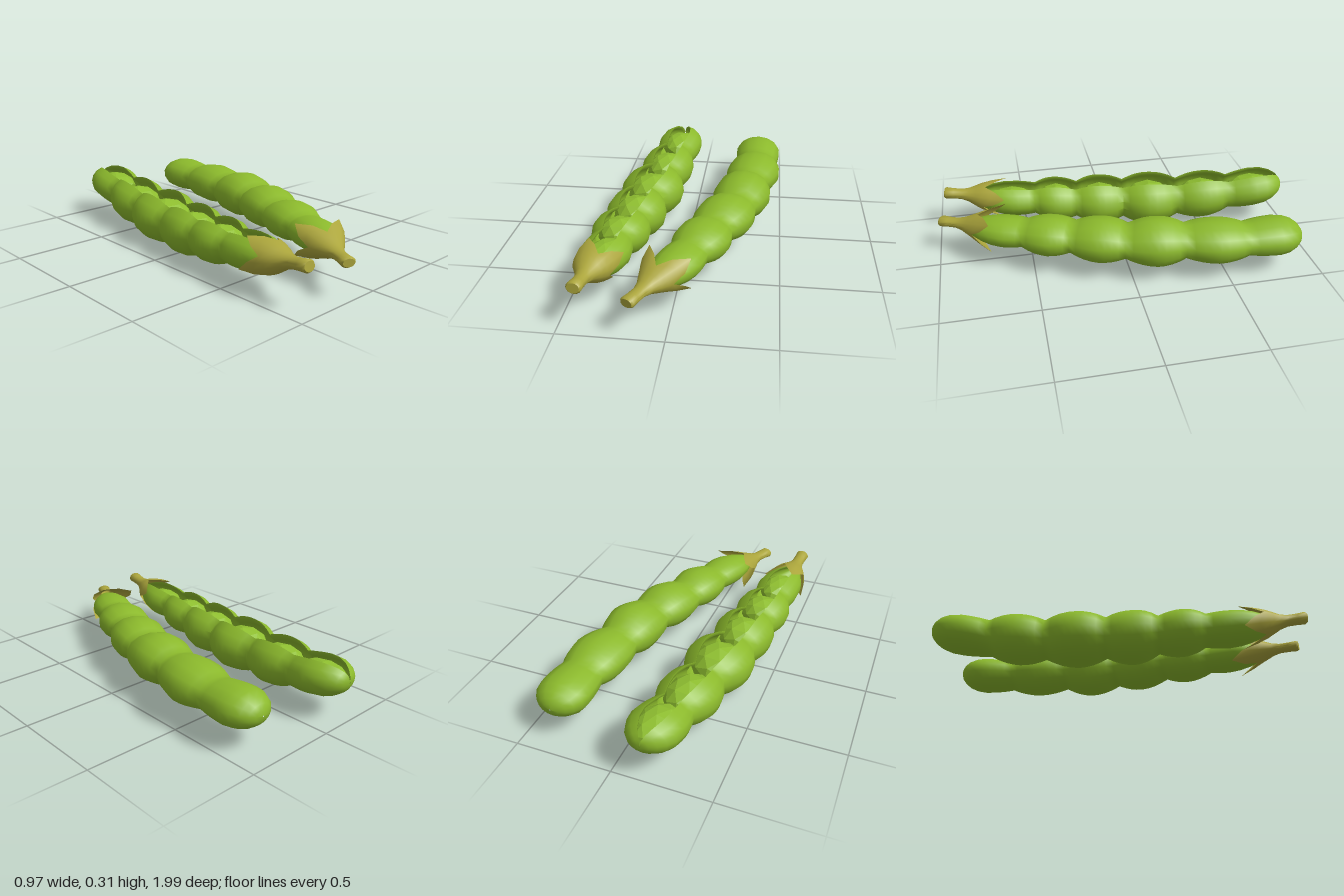
import * as THREE from 'three';
import { toCreasedNormals } from 'three/addons/utils/BufferGeometryUtils.js';

const podGreen = new THREE.MeshStandardMaterial({ color: 0x8cba2c });
podGreen.name = 'pod green';
const peaGreen = new THREE.MeshStandardMaterial({ color: 0x8fbf30 });
peaGreen.name = 'pea green';
const calyxOlive = new THREE.MeshStandardMaterial({ color: 0xaca63c, side: THREE.DoubleSide });
calyxOlive.name = 'calyx olive';

// Nodes run tip to stem and alternate waist, bulge, waist...: [z, x, y, half width, half height]
const closedNodes = [
  [-0.91, 0.35, 0.19, 0.004, 0.004], [-0.77, 0.35, 0.187, 0.137, 0.095],
  [-0.605, 0.345, 0.185, 0.12, 0.078], [-0.45, 0.332, 0.185, 0.156, 0.11],
  [-0.285, 0.298, 0.185, 0.12, 0.084], [-0.14, 0.28, 0.185, 0.158, 0.126],
  [0.015, 0.24, 0.185, 0.126, 0.08], [0.14, 0.2, 0.185, 0.154, 0.114],
  [0.285, 0.14, 0.185, 0.118, 0.074], [0.4, 0.105, 0.185, 0.144, 0.1],
  [0.53, 0.052, 0.185, 0.104, 0.068], [0.63, 0.015, 0.185, 0.116, 0.077],
  [0.84, -0.085, 0.183, 0.025, 0.022],
];
const openNodes = [
  [-1, -0.155, 0.215, 0.004, 0.004], [-0.83, -0.165, 0.198, 0.14, 0.102],
  [-0.68, -0.185, 0.172, 0.11, 0.094], [-0.53, -0.208, 0.158, 0.158, 0.131],
  [-0.385, -0.23, 0.148, 0.116, 0.102], [-0.22, -0.25, 0.145, 0.181, 0.142],
  [-0.07, -0.282, 0.142, 0.124, 0.105], [0.07, -0.293, 0.143, 0.163, 0.139],
  [0.2, -0.315, 0.15, 0.121, 0.096], [0.32, -0.33, 0.157, 0.151, 0.119],
  [0.44, -0.347, 0.165, 0.107, 0.084], [0.56, -0.355, 0.172, 0.125, 0.093],
  [0.8, -0.395, 0.188, 0.025, 0.025],
];

// Skin a list of closed rings of points
function loft(rings) {
  const n = rings[0].length, index = [];
  for (let i = 0; i < rings.length - 1; i++) {
    for (let j = 0; j < n; j++) {
      const a = i * n + j, b = i * n + (j + 1) % n;
      index.push(a, a + n, b, b, a + n, b + n);
    }
  }
  const geo = new THREE.BufferGeometry().setFromPoints(rings.flat());
  geo.setIndex(index);
  geo.computeVertexNormals();
  return geo;
}

// Cross-sections as [angle from top, scale]
const fullSection = () => Array.from({ length: 14 }, (_, i) => [i / 14 * Math.PI * 2, 1]);
const arc = (start, scale, n) => Array.from({ length: n + 1 },
  (_, i) => [start + (Math.PI * 2 - 2 * start) * i / n, scale]);
// Outer skin, then the inner wall back to the first lip
const slitSection = (gap) => [...arc(Math.asin(gap), 1, 14),
  ...arc(Math.asin(gap / 0.88), 0.88, 12).reverse()];

const lerp = THREE.MathUtils.lerp;
const slopeAt = (nodes, i) => {
  const a = nodes[Math.max(i - 1, 0)], b = nodes[Math.min(i + 1, nodes.length - 1)];
  return (b[1] - a[1]) / (b[0] - a[0]);
};

// One ring between waist w and bulge b; u is 1 at the waist and 0 at the bulge
function ring(nodes, w, b, u, section) {
  const W = nodes[w], B = nodes[b], tip = w === 0;
  const swell = tip ? Math.sqrt(1 - u * u) : 1 - u * u;
  const [z, x, y] = [0, 1, 2].map((k) => lerp(B[k], W[k], u));
  const [rx, ry] = [3, 4].map((k) => lerp(W[k], B[k], swell));
  const slope = lerp(slopeAt(nodes, b), tip ? 0 : slopeAt(nodes, w), u);
  const side = new THREE.Vector3(1, 0, -slope).normalize();
  // the slit narrows to nothing at the tip
  return section(tip ? 0.44 * swell : 0.44).map(([a, s]) =>
    new THREE.Vector3(x, y + Math.cos(a) * ry * s, z).addScaledVector(side, Math.sin(a) * rx * s));
}

// A pod is one skin through a chain of bulges and waists
function makePod(name, nodes, section) {
  const rings = [];
  for (let b = 1; b < nodes.length; b += 2) {
    const rise = b === 1 ? [1, 0.96, 0.85, 0.65, 0.35, 0] : [0.75, 0.5, 0.25, 0];
    for (const u of rise) rings.push(ring(nodes, b - 1, b, u, section));
    for (const u of [0.25, 0.5, 0.75, 1]) rings.push(ring(nodes, b + 1, b, u, section));
  }
  const shell = new THREE.Mesh(toCreasedNormals(loft(rings), 1.15), podGreen);
  shell.name = 'podShell';
  const pod = new THREE.Group();
  pod.name = name;
  pod.add(shell);
  return pod;
}

// Faceted peas, one in each bulge
function makePeas(nodes) {
  const peas = new THREE.Group();
  peas.name = 'peas';
  for (let b = 1; b < nodes.length; b += 2) {
    const [z, x, y, rx, ry] = nodes[b];
    const z0 = Math.max(nodes[b - 1][0], z - 0.15), z1 = Math.min(nodes[b + 1][0], z + 0.15);
    const geo = new THREE.IcosahedronGeometry(1, 1);
    geo.scale(rx * 0.8, ry * 0.75, (z1 - z0) / 2);
    geo.computeVertexNormals();
    const pea = new THREE.Mesh(geo, peaGreen);
    pea.name = 'pea';
    pea.position.set(x, y - ry * 0.1, (z0 + z1) / 2);
    pea.rotation.y = Math.atan(slopeAt(nodes, b));
    peas.add(pea);
  }
  return peas;
}

// Stem that widens into a cup with four flared, pointed sepals
function makeCalyx(name, from, to, tipAngle, flat, tipRadius) {
  const profile = [[0, 0.001], [0, 0.03], [0.01, 0.038], [0.05, 0.035], [0.1, 0.035],
    [0.14, 0.047], [0.18, 0.07], [0.21, 0.087]];
  const n = 16;
  const row = (f) => Array.from({ length: n }, (_, j) => {
    const a = tipAngle + j / n * Math.PI * 2, [d, r] = f(j);
    return new THREE.Vector3(Math.cos(a) * r, Math.sin(a) * r * flat, d);
  });
  const rings = profile.map((p) => row(() => p));
  // 1 on a sepal's midline, 0 in the notch between two sepals
  const spike = (j) => 1 - Math.min(j % 4, 4 - j % 4) / 2;
  rings.push(row((j) => [0.225 + 0.04 * spike(j), lerp(0.094, tipRadius, 0.4 * spike(j))]));
  rings.push(row((j) => [0.23 + 0.115 * spike(j), lerp(0.096, tipRadius, spike(j))]));
  const calyx = new THREE.Mesh(toCreasedNormals(loft(rings), 0.9), calyxOlive);
  calyx.name = name;
  calyx.position.set(...from);
  calyx.lookAt(...to);
  return calyx;
}

export function createModel() {
  const model = new THREE.Group();
  model.name = 'peaPods';
  const closedPod = makePod('closedPod', closedNodes, fullSection);
  closedPod.add(makeCalyx('closedPodCalyx', [-0.17, 0.18, 0.98], [-0.025, 0.186, 0.68],
    0.25 * Math.PI, 0.7, 0.165));
  const openPod = makePod('openPod', openNodes, slitSection);
  openPod.add(makePeas(openNodes));
  openPod.add(makeCalyx('openPodCalyx', [-0.41, 0.222, 0.955], [-0.37, 0.175, 0.62],
    0.36 * Math.PI, 0.82, 0.132));
  model.add(closedPod, openPod);
  return model;
}
